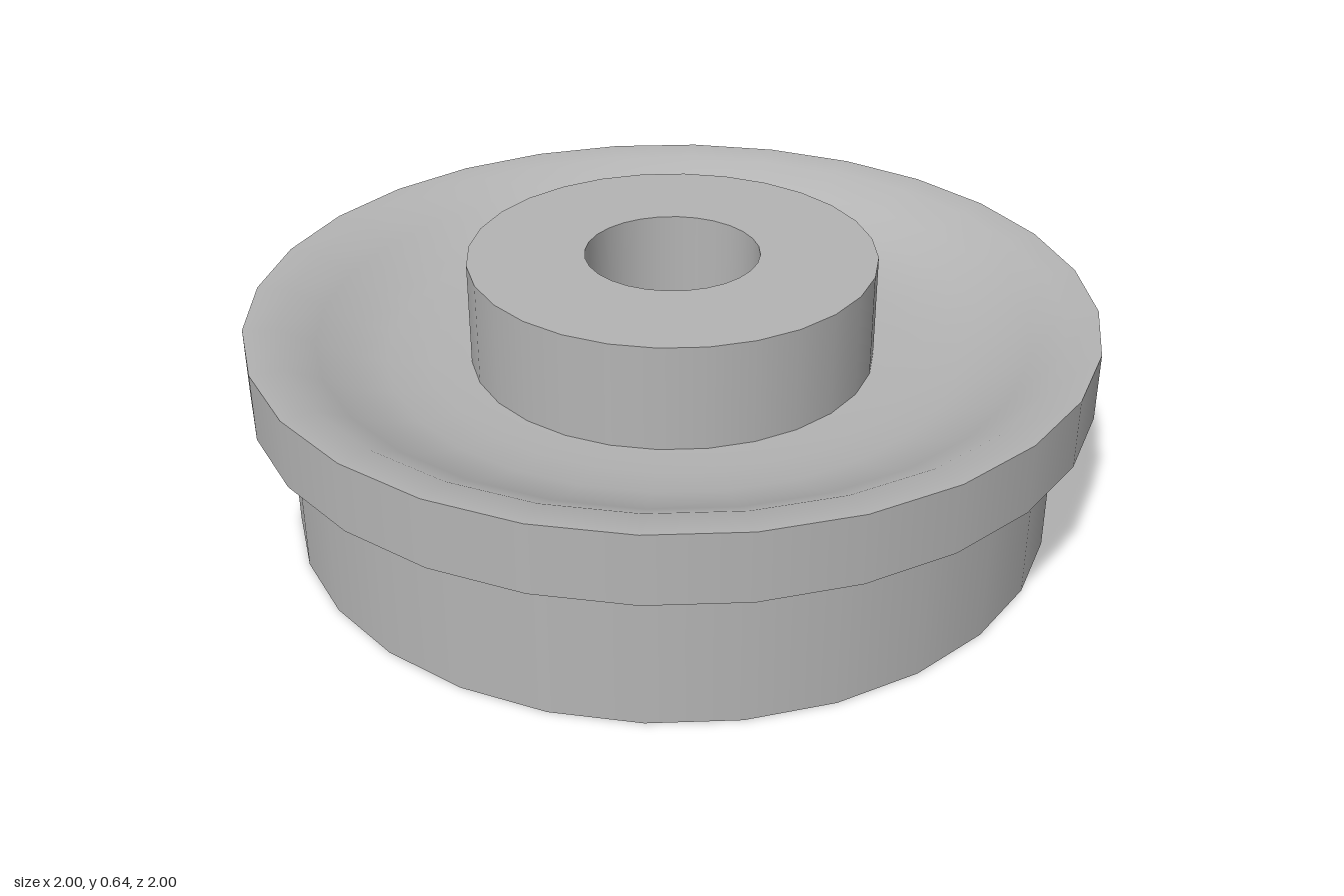
import * as THREE from 'three';

const SIDES = 28;

export function createModel() {
  const group = new THREE.Group();
  const grey = new THREE.MeshStandardMaterial({ color: 0xb4b4b4, side: THREE.DoubleSide });
  grey.name = 'grey';

  // Each part is a thin turned shell; separate parts keep the edges between them sharp
  const turned = (name, profile) => {
    const points = profile.map(([r, y]) => new THREE.Vector2(r, y));
    const mesh = new THREE.Mesh(new THREE.LatheGeometry(points, SIDES), grey);
    mesh.name = name;
    group.add(mesh);
  };

  // Outer body, open underneath
  turned('baseWall', [[0.917, 0], [0.917, 0.358]]);
  turned('flangeUnderside', [[0.917, 0.358], [1, 0.358]]);
  turned('flangeRim', [[1, 0.358], [1, 0.521]]);

  // Dished top with a rounded lip
  turned('dish', [
    [1, 0.521], [0.92, 0.517], [0.84, 0.475], [0.76, 0.436],
    [0.68, 0.412], [0.58, 0.399], [0.481, 0.395],
  ]);

  // Central hub with a blind hole
  turned('hubWall', [[0.481, 0.395], [0.481, 0.644]]);
  turned('hubTop', [[0.481, 0.644], [0.206, 0.644]]);
  turned('holeWall', [[0.206, 0.644], [0.206, 0.356]]);
  turned('holeFloor', [[0.206, 0.356], [0, 0.356]]);

  return group;
}
